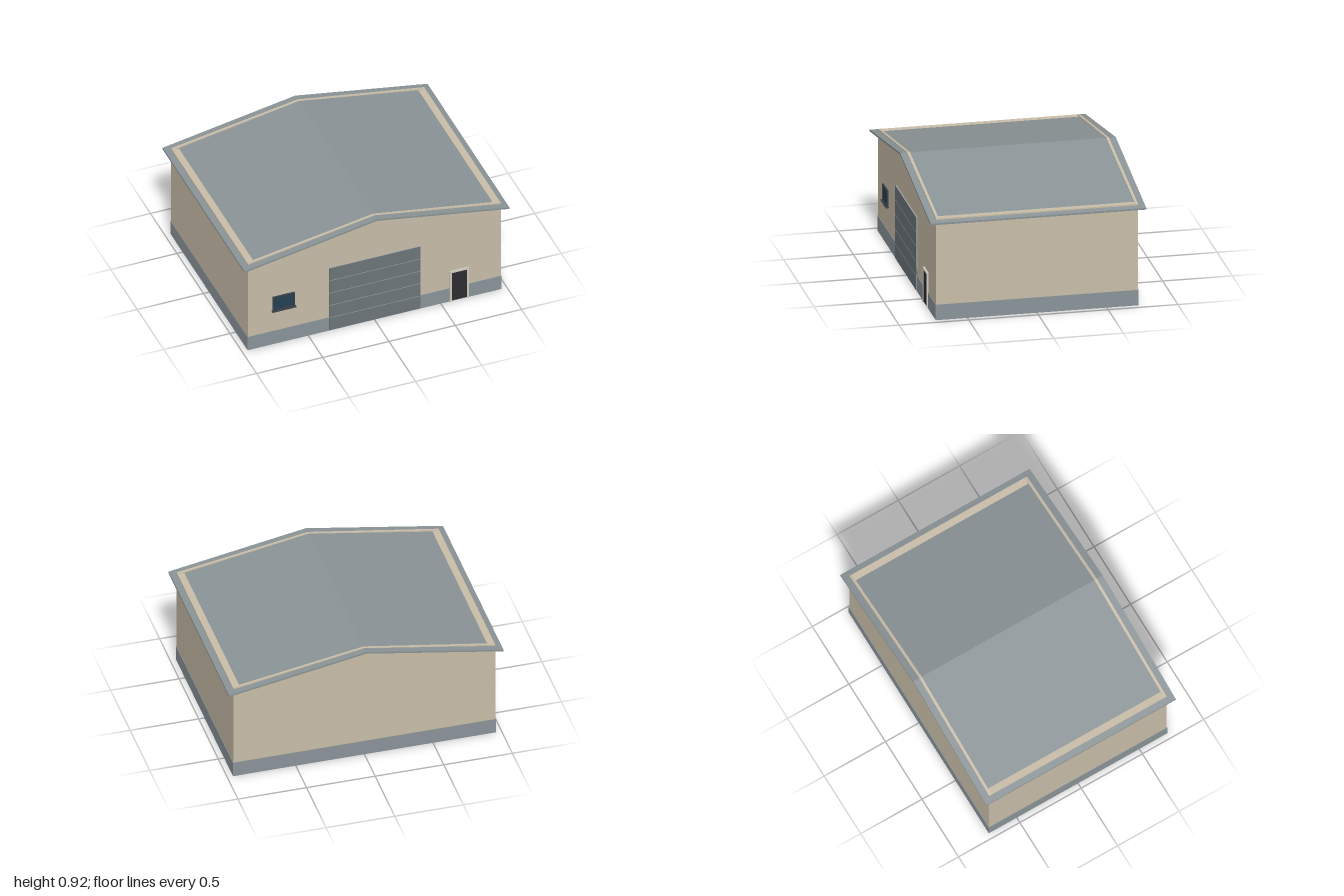
import * as THREE from 'three';

const mat = (color) => new THREE.MeshStandardMaterial({ color });
const WALL = mat(0xc8bda8), PLINTH = mat(0x8a9499), ROOF = mat(0x8a9396);
const SHUTTER = mat(0x6c757a), GROOVE = mat(0xa4aaac), TRIM = mat(0xcfcabc);
const LEAF = mat(0x2c2c32), GLASS = mat(0x263f52), DARK = mat(0x3a4046), FLOOR = mat(0x8f8778);

export function createModel() {
  const model = new THREE.Group();

  const add = (parent, name, geometry, material) => {
    const mesh = new THREE.Mesh(geometry, material);
    mesh.name = name;
    parent.add(mesh);
    return mesh;
  };
  // Box given by its limits on each axis
  const box = (parent, name, material, x0, x1, y0, y1, z0, z1) => {
    const mesh = add(parent, name, new THREE.BoxGeometry(x1 - x0, y1 - y0, z1 - z0), material);
    mesh.position.set((x0 + x1) / 2, (y0 + y1) / 2, (z0 + z1) / 2);
    return mesh;
  };
  // Outline in x and y, extruded from z0 to z1
  const prism = (parent, name, material, points, z0, z1) => {
    const shape = new THREE.Shape(points.map(([x, y]) => new THREE.Vector2(x, y)));
    const geometry = new THREE.ExtrudeGeometry(shape, { depth: z1 - z0, bevelEnabled: false });
    add(parent, name, geometry, material).position.z = z0;
  };
  const group = (name) => {
    const g = new THREE.Group();
    g.name = name;
    model.add(g);
    return g;
  };

  // Walls: main body with a thin gable at each end, just breaking through the roof
  const walls = group('walls');
  box(walls, 'wallBody', WALL, -0.955, 0.955, 0.1, 0.754, -0.724, 0.724);
  for (const side of [-1, 1]) {
    const z = side * 0.714;
    prism(walls, side > 0 ? 'frontGable' : 'backGable', WALL,
      [[-0.955, 0.75], [0.955, 0.75], [0.955, 0.755], [0, 0.916], [-0.955, 0.755]], z - 0.01, z + 0.01);
  }

  // Base
  box(model, 'plinth', PLINTH, -0.958, 0.958, 0.001, 0.115, -0.728, 0.728);
  box(model, 'floor', FLOOR, -0.956, 0.956, 0, 0.01, -0.726, 0.726);

  // Pitched roof sheet
  prism(model, 'roof', ROOF,
    [[-1, 0.724], [0, 0.9], [1, 0.724], [1, 0.737], [0, 0.914], [-1, 0.737]], -0.773, 0.773);

  // Sectional shutter door
  const shutter = group('garageDoor');
  box(shutter, 'doorBacking', GROOVE, -0.343, 0.343, 0.008, 0.55, 0.72, 0.731);
  const panels = 5, pitch = 0.1083, gap = 0.006;
  for (let i = 0; i < panels; i++) {
    const y = 0.008 + i * pitch;
    box(shutter, 'doorPanel', SHUTTER, -0.343, 0.343,
      y + (i ? gap / 2 : 0), y + pitch - (i < panels - 1 ? gap / 2 : 0), 0.722, 0.734);
  }

  // Side entrance
  const door = group('entranceDoor');
  box(door, 'doorLeaf', LEAF, 0.58, 0.695, 0.01, 0.252, 0.72, 0.734);
  for (const x of [0.566, 0.695]) box(door, 'doorJamb', TRIM, x, x + 0.014, 0.004, 0.252, 0.72, 0.738);
  box(door, 'doorHead', TRIM, 0.566, 0.709, 0.252, 0.265, 0.72, 0.738);

  // Window
  const win = group('window');
  box(win, 'glass', GLASS, -0.762, -0.612, 0.304, 0.408, 0.72, 0.731);
  for (const x of [-0.769, -0.612]) box(win, 'windowSide', DARK, x, x + 0.007, 0.297, 0.415, 0.72, 0.736);
  for (const y of [0.297, 0.408]) box(win, 'windowRail', DARK, -0.762, -0.612, y, y + 0.007, 0.72, 0.736);
  box(win, 'windowSill', DARK, -0.777, -0.597, 0.29, 0.297, 0.72, 0.746);

  return model;
}
